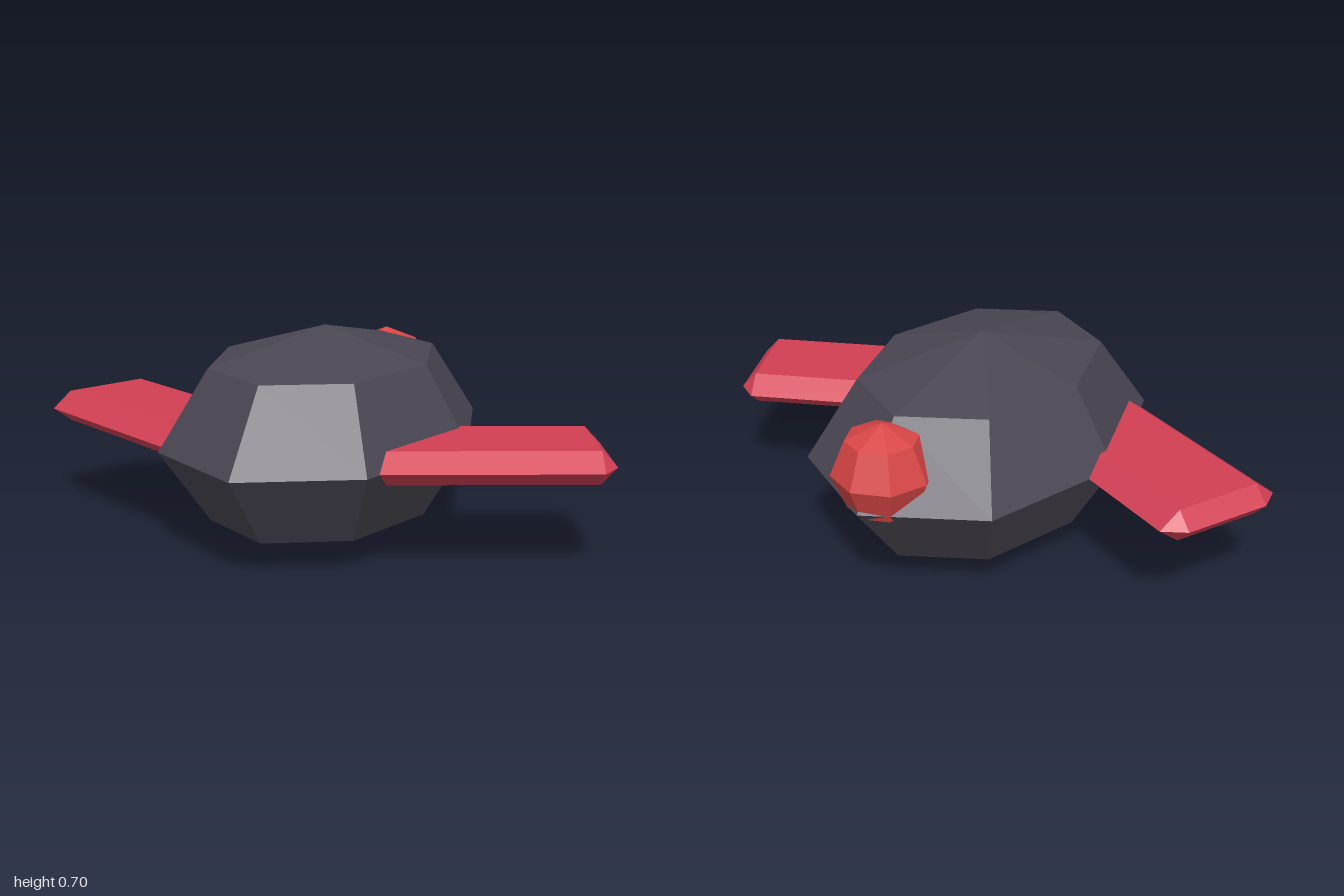
import * as THREE from 'three';
import { ConvexGeometry } from 'three/addons/geometries/ConvexGeometry.js';

function material(name, color) {
  const m = new THREE.MeshStandardMaterial({ color });
  m.name = name;
  return m;
}

// Low-poly ball with 8 sides and 4 rings, stretched to the given radii
function ball(name, mat, radii, position) {
  const geometry = new THREE.SphereGeometry(1, 8, 4).scale(...radii).toNonIndexed();
  geometry.computeVertexNormals();
  const mesh = new THREE.Mesh(geometry, mat);
  mesh.name = name;
  mesh.position.set(...position);
  return mesh;
}

// Flat slab with chamfered rim and corners, swept back by an angle
function wing(name, mat, side) {
  const u0 = 0.15, u1 = 0.821, v0 = 0.186, v1 = 0.48; // flat face extents
  const du = 0.05, dv = 0.07, h = 0.053;              // rim bevel and half thickness
  const c = Math.cos(THREE.MathUtils.degToRad(25));
  const s = Math.sin(THREE.MathUtils.degToRad(25));
  const at = (u, y, v) => new THREE.Vector3(side * (u * c + v * s), y, v * c - u * s);
  const points = [];
  for (const [u, su] of [[u0, -1], [u1, 1]]) {
    for (const [v, sv] of [[v0, -1], [v1, 1]]) {
      points.push(at(u, h, v), at(u, -h, v), at(u + su * du, 0, v), at(u, 0, v + sv * dv));
    }
  }
  const mesh = new THREE.Mesh(new ConvexGeometry(points), mat);
  mesh.name = name;
  mesh.position.y = 0.352;
  return mesh;
}

export function createModel() {
  const group = new THREE.Group();
  group.name = 'wingedBody';
  const charcoal = material('charcoal', 0x4a4653);
  const crimson = material('crimson', 0xd13f53);
  const red = material('red', 0xd84545);

  group.add(ball('body', charcoal, [0.5, 0.351, 0.674], [0, 0.351, 0.012]));
  group.add(ball('rearBall', red, [0.162, 0.162, 0.162], [0, 0.441, -0.526]));
  group.add(wing('leftWing', crimson, 1), wing('rightWing', crimson, -1));
  return group;
}
